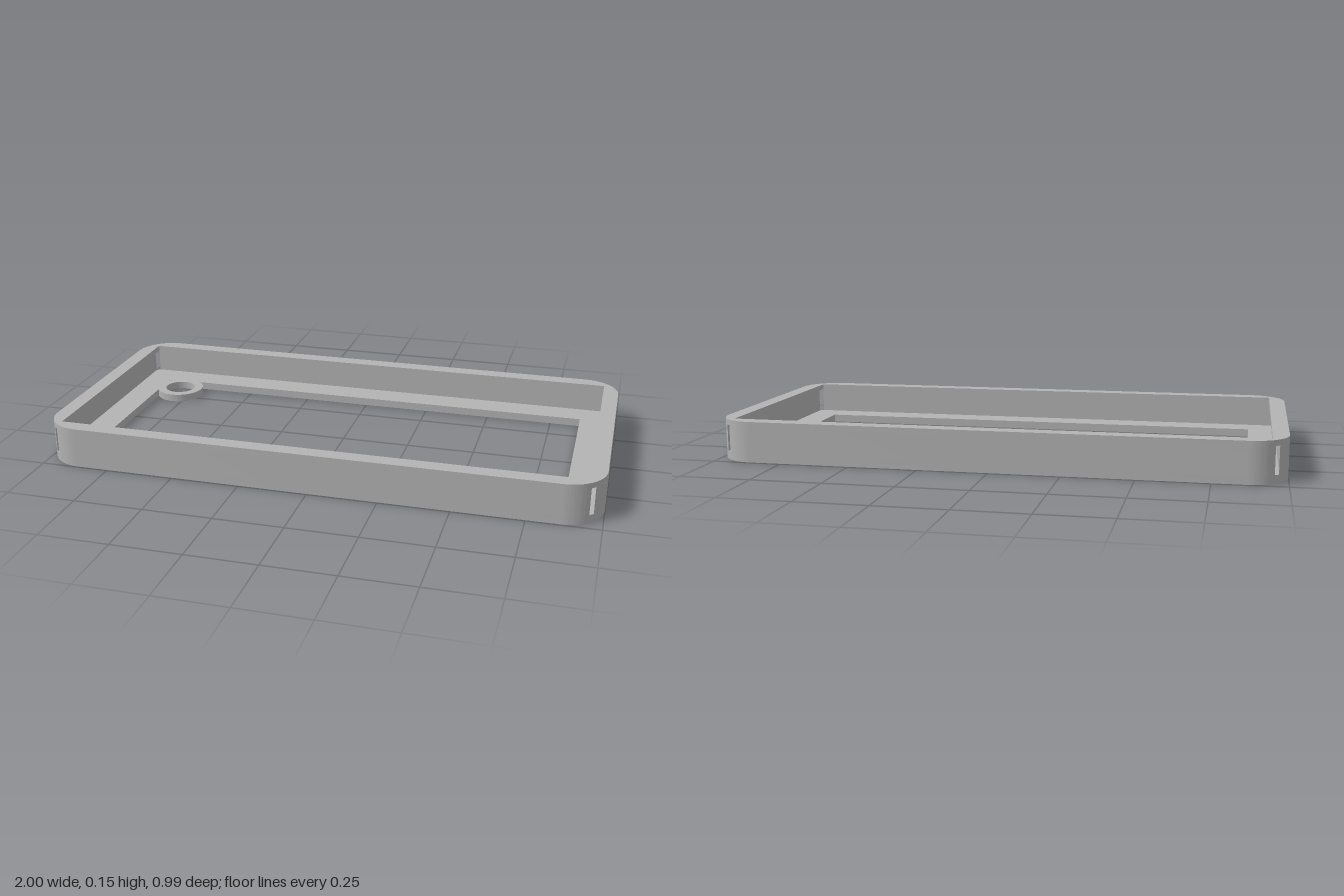
import * as THREE from 'three';
import { toCreasedNormals } from 'three/addons/utils/BufferGeometryUtils.js';

// Footprint: rounded rectangle with corner arcs centred on (CX, CZ)
const CX = 0.865, CZ = 0.36, R = 0.135;
// Heights of floor top, cavity top and rim top
const FLOOR = 0.029, CAVITY = 0.126, TOP = 0.146;

export function createModel() {
  const group = new THREE.Group();
  const grey = new THREE.MeshStandardMaterial({ color: 0xb3b3b3 });
  grey.name = 'grey plastic';

  // Extrude a plan shape (shape y = -z) between two heights
  const addSlab = (name, shape, y0, y1) => {
    let geo = new THREE.ExtrudeGeometry(shape, { depth: y1 - y0, bevelEnabled: false, curveSegments: 24 });
    geo.rotateX(-Math.PI / 2).translate(0, y0, 0);
    geo = toCreasedNormals(geo, 0.5);
    const mesh = new THREE.Mesh(geo, grey);
    mesh.name = name;
    group.add(mesh);
    return mesh;
  };

  const outline = () => {
    const s = new THREE.Shape();
    s.absarc(CX, CZ, R, 0, Math.PI / 2);
    s.absarc(-CX, CZ, R, Math.PI / 2, Math.PI);
    s.absarc(-CX, -CZ, R, Math.PI, Math.PI * 1.5);
    s.absarc(CX, -CZ, R, Math.PI * 1.5, Math.PI * 2);
    s.closePath();
    return s;
  };

  // Floor frame: large window with a camera ring merged into its back right corner
  const wx = 0.864, wz = 0.357, rx = -0.786, rz = 0.284, ringR = 0.093;
  const ux = Math.sqrt(ringR ** 2 - (wz - rz) ** 2);
  const uz = Math.sqrt(ringR ** 2 - (wx + rx) ** 2);
  const aBack = Math.atan2(wz - rz, ux);
  const aSide = Math.atan2(uz, wx + rx);

  const windowHole = new THREE.Path();
  windowHole.moveTo(-wx, -wz);
  windowHole.lineTo(wx, -wz);
  windowHole.lineTo(wx, wz);
  windowHole.absarc(rx, rz, ringR, aBack, -Math.PI + aSide, true);
  windowHole.closePath();

  const cornerGap = new THREE.Path();
  cornerGap.moveTo(-wx, wz);
  cornerGap.absarc(rx, rz, ringR, Math.PI - aBack, Math.PI - aSide);
  cornerGap.closePath();

  const ringHole = new THREE.Path();
  ringHole.absarc(rx, rz, 0.06, 0, Math.PI * 2);

  const floor = outline();
  floor.holes.push(windowHole, cornerGap, ringHole);
  addSlab('floorFrame', floor, 0, FLOOR);

  // Walls: the square cavity breaks through the rounded corners, leaving slots
  const a = Math.asin(0.102 / R), b = Math.PI / 2 - a;
  const longWall = new THREE.Shape();
  longWall.absarc(CX, CZ, R, a, Math.PI / 2);
  longWall.absarc(-CX, CZ, R, Math.PI / 2, Math.PI - a);
  longWall.closePath();
  const endWall = new THREE.Shape();
  endWall.absarc(CX, -CZ, R, -b, 0);
  endWall.absarc(CX, CZ, R, 0, b);
  endWall.closePath();
  addSlab('backWall', longWall, FLOOR, CAVITY);
  addSlab('frontWall', longWall, FLOOR, CAVITY).rotation.y = Math.PI;
  addSlab('leftWall', endWall, FLOOR, CAVITY);
  addSlab('rightWall', endWall, FLOOR, CAVITY).rotation.y = Math.PI;

  // Retaining lip, slightly narrower opening than the cavity
  const lx = 0.943, lz = 0.438;
  const lip = outline();
  lip.holes.push(new THREE.Path([[-lx, -lz], [lx, -lz], [lx, lz], [-lx, lz], [-lx, -lz]]
    .map(([x, y]) => new THREE.Vector2(x, y))));
  addSlab('topLip', lip, CAVITY, TOP);

  return group;
}
